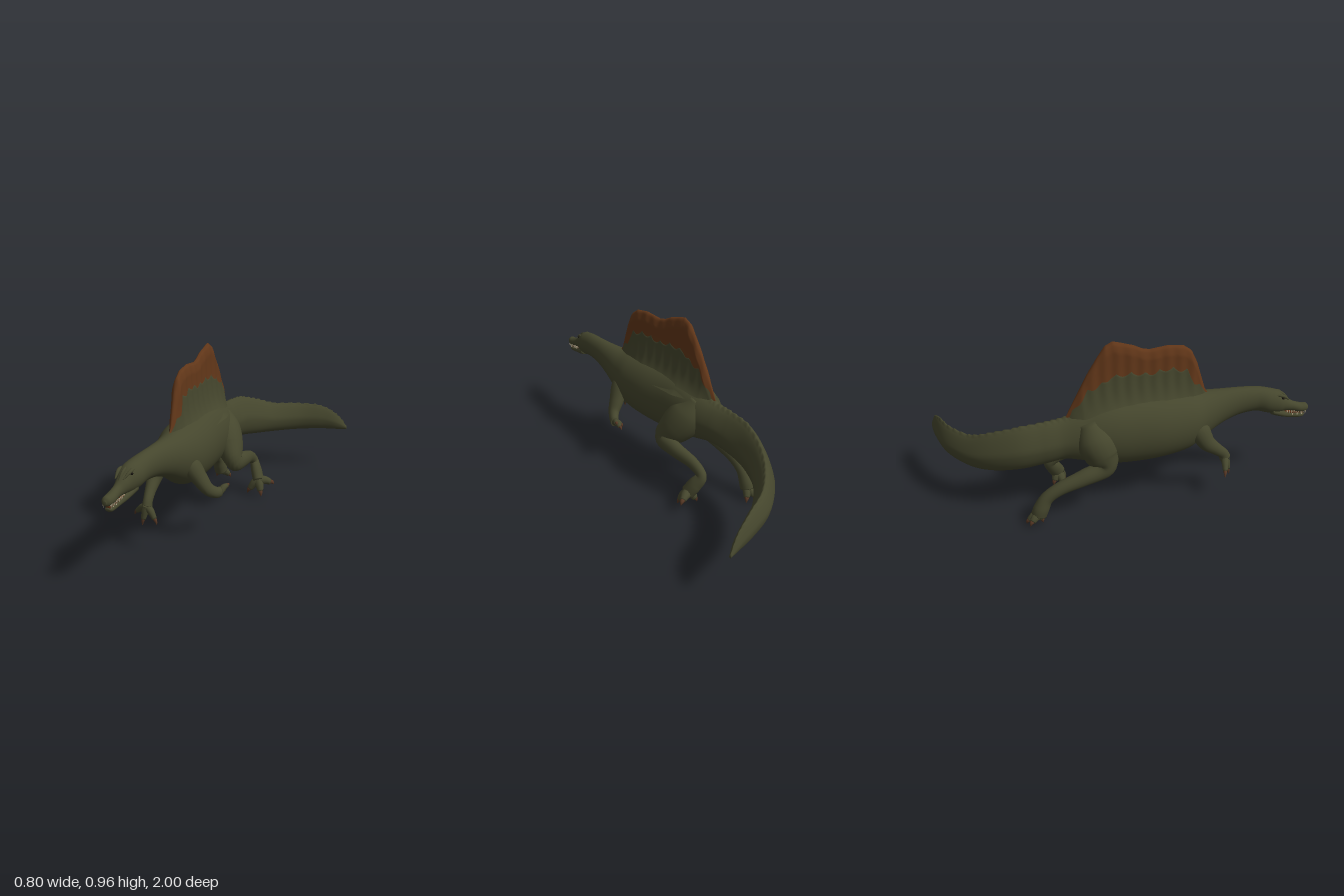
import * as THREE from 'three';

const V = (x, y, z) => new THREE.Vector3(x, y, z);
const clamp = THREE.MathUtils.clamp, lerp = THREE.MathUtils.lerp;
const mat = (name, color, side = THREE.FrontSide) => {
  const m = new THREE.MeshStandardMaterial({ color, side });
  m.name = name;
  return m;
};

// Grid surface: fn(i, j) gives a point; front is (i direction) x (j direction)
function gridGeometry(ni, nj, fn, wrap = false) {
  const pos = [], idx = [];
  for (let i = 0; i < ni; i++) for (let j = 0; j < nj; j++) pos.push(...fn(i, j).toArray());
  for (let i = 0; i < ni - 1; i++) {
    for (let j = 0; j < (wrap ? nj : nj - 1); j++) {
      const k = (j + 1) % nj;
      const a = i * nj + j, b = (i + 1) * nj + j, c = (i + 1) * nj + k, d = i * nj + k;
      idx.push(a, b, d, b, c, d);
    }
  }
  const g = new THREE.BufferGeometry();
  g.setAttribute('position', new THREE.Float32BufferAttribute(pos, 3));
  g.setIndex(idx);
  g.computeVertexNormals();
  return g;
}

// Rounded tube through rows of [x, y, z, radius]; flat squeezes it sideways
function limbGeometry(rows, flat = 1, steps = 8, sides = 14) {
  const path = new THREE.CatmullRomCurve3(rows.map(r => V(r[0], r[1], r[2])), false, 'catmullrom');
  const rad = new THREE.CatmullRomCurve3(rows.map(r => V(r[3], 0, 0)), false, 'catmullrom');
  const n = steps * (rows.length - 1);
  return gridGeometry(n + 3, sides, (i, j) => {
    const t = clamp((i - 1) / n, 0, 1);
    const r = i === 0 || i === n + 2 ? 0.0001 : Math.max(rad.getPoint(t).x, 0.0005);
    const T = path.getTangent(t), R = V(1, 0, 0).cross(T).normalize(), U = T.clone().cross(R);
    const a = j / sides * Math.PI * 2;
    return path.getPoint(t).addScaledVector(R, r * Math.sin(a)).addScaledVector(U, r * flat * Math.cos(a));
  }, true);
}

// Upright sections along a path, rows of [x, z, bottom, top, half width];
// ridge(t) lifts the top line, pinch(t) narrows the upper half
function spineGeometry(rows, steps, sides, ridge = () => 0, pinch = () => 0) {
  const path = new THREE.CatmullRomCurve3(rows.map(r => V(r[0], 0, r[1])), false, 'catmullrom');
  const size = new THREE.CatmullRomCurve3(rows.map(r => V(r[2], r[3], r[4])), false, 'catmullrom');
  const n = steps * (rows.length - 1);
  return gridGeometry(n + 3, sides, (i, j) => {
    const t = clamp((i - 1) / n, 0, 1);
    const end = i === 0 || i === n + 2 ? 0.01 : 1;
    const s = size.getPoint(t), p = path.getPoint(t);
    const R = V(0, 1, 0).cross(path.getTangent(t)).normalize();
    const a = j / sides * Math.PI * 2, c = Math.cos(a);
    const h = (s.y - s.x) / 2 * end;
    p.y = (s.x + s.y) / 2 + h * c + (c > 0.96 ? ridge(t) * end : 0);
    return p.addScaledVector(R, s.z * end * Math.sin(a) * (1 - pinch(t) * Math.max(0, c)));
  }, true);
}

// Linear interpolation in rows of [z, value], z falling
function lookup(rows, z) {
  for (let i = 1; i < rows.length; i++) {
    const [z0, a] = rows[i - 1], [z1, b] = rows[i];
    if (z >= z1) return lerp(a, b, clamp((z0 - z) / (z0 - z1), 0, 1));
  }
  return rows[rows.length - 1][1];
}

export function createModel() {
  const root = new THREE.Group();
  root.name = 'sailBackedDinosaur';
  const skin = mat('olive skin', 0x45462d);
  const sailMat = mat('rust sail', 0x623719, THREE.DoubleSide);
  const sailBase = mat('olive sail base', 0x45462d, THREE.DoubleSide);
  const clawMat = mat('brown claw', 0x553724);
  const mouthMat = mat('red brown mouth', 0x643418);
  const toothMat = mat('ivory tooth', 0xb5a98c);
  const eyeMat = mat('dark eye', 0x17140e);
  const add = (name, geo, material, parent = root) => {
    const m = new THREE.Mesh(geo, material);
    m.name = name;
    parent.add(m);
    return m;
  };

  // Snout, neck, trunk and curving tail in one skin, with scutes along the tail
  const front = [
    [-.27, 1.0, .445, .465, .008], [-.27, .985, .435, .482, .022], [-.268, .95, .433, .487, .027],
    [-.262, .9, .445, .506, .025], [-.255, .86, .447, .54, .036], [-.25, .82, .442, .573, .05],
    [-.24, .77, .445, .588, .056], [-.225, .7, .458, .6, .051], [-.215, .6, .442, .604, .056],
    [-.21, .5, .4, .605, .073], [-.21, .4, .34, .61, .1], [-.215, .3, .288, .625, .128],
  ];
  const back = [
    [-.22, .15, .268, .635, .14], [-.22, 0, .265, .635, .132], [-.215, -.12, .275, .625, .122],
    [-.205, -.25, .305, .59, .1], [-.2, -.35, .325, .562, .078], [-.2, -.45, .312, .55, .069],
    [-.185, -.58, .29, .533, .064], [-.13, -.71, .268, .49, .058], [-.05, -.81, .259, .445, .053],
    [.085, -.905, .259, .43, .045], [.23, -.955, .263, .413, .033], [.33, -.975, .263, .36, .021],
    [.395, -.99, .265, .285, .006],
  ];
  const scutes = t => t > 0.64 && t < 0.99 ? 0.009 * ((t * 75) % 1) : 0;
  const tailPinch = t => 0.4 * clamp((t - 0.6) / 0.12, 0, 1);
  add('bodyAndTail', spineGeometry([...front, ...back], 12, 40, scutes, tailPinch), skin);

  // Lower jaw, mouth lining, teeth, brows and eyes
  const head = new THREE.Group();
  head.name = 'headDetails';
  root.add(head);
  add('lowerJaw', spineGeometry([
    [-.269, .98, .412, .424, .012], [-.268, .96, .4, .428, .021], [-.262, .9, .404, .44, .023],
    [-.255, .85, .415, .463, .035], [-.246, .79, .435, .49, .045]], 6, 20), skin, head);
  add('mouthLining', spineGeometry([
    [-.268, .975, .415, .447, .012], [-.262, .9, .425, .455, .017], [-.255, .85, .43, .465, .022]], 5, 14), mouthMat, head);
  for (const side of [-1, 1]) {
    for (let k = 0; k < 9; k++) {
      const z = .978 - k * .013, x = -.27 + (.98 - z) * .09;
      const up = add('upperTooth', new THREE.ConeGeometry(.0045, .02, 6), toothMat, head);
      up.position.set(x + side * .02, .433 + k * .0012, z);
      up.rotation.x = Math.PI;
      if (k % 2) add('lowerTooth', new THREE.ConeGeometry(.0035, .015, 6), toothMat, head).position.set(x + side * .018, .433, z - .006);
    }
    add('brow', limbGeometry([[-.26 + side * .02, .525, .875, .003], [-.252 + side * .03, .553, .835, .009],
      [-.246 + side * .03, .56, .79, .003]]), skin, head);
    add('eye', new THREE.SphereGeometry(.007, 14, 10), eyeMat, head).position.set(-.253 + side * .037, .543, .835);
  }
  add('noseCrest', limbGeometry([[-.26, .503, .89, .003], [-.254, .55, .85, .008], [-.248, .572, .81, .003]]), skin, head);

  // Sail: faintly ribbed, flared into the back, in an olive lower and a rust upper part
  const topRows = [[.43, .6], [.41, .63], [.385, .71], [.36, .79], [.325, .865], [.28, .898], [.2, .91], [.1, .9],
    [.06, .91], [.02, .932], [-.05, .955], [-.09, .966], [-.13, .945], [-.17, .885], [-.22, .8], [-.28, .68], [-.34, .56]];
  const edgeRows = [[.43, .61], [.4, .65], [.34, .7], [.3, .775], [.2, .8], [.1, .785], [0, .8], [-.1, .795],
    [-.15, .76], [-.22, .73], [-.28, .65], [-.34, .55]];
  const sailTop = z => lookup(topRows, z);
  const edge = z => Math.min(lookup(edgeRows, z) - .022 * Math.abs(Math.sin(z * 42)), sailTop(z) - .004);
  const sailGeometry = (low, high, extra) => {
    const nu = 121, half = 16;
    return gridGeometry(nu, half * 2 + 1, (i, j) => {
      const u = i / (nu - 1), z = .43 - .77 * u, v = j / half - 1;
      const y = lerp(low(z), high(z), 1 - Math.abs(v));
      const swell = Math.sin(Math.PI * u);
      const rim = Math.sqrt(clamp((sailTop(z) - y) / .05, 0, 1));
      const rib = .0022 * Math.cos(z * 95) * clamp((y - .6) / .1, 0, 1);
      const flare = .068 * Math.exp(-(y - .57) / .075) * Math.min(1, swell * 1.2);
      const w = ((.019 + rib) * Math.min(1, swell * 2.5 + .1) + flare) * rim + extra;
      return V(-.214 + .03 * Math.max(0, -z) - Math.sign(v) * w, y, z);
    });
  };
  add('sailLower', sailGeometry(() => .55, z => Math.min(edge(z) + .02, sailTop(z)), 0), sailBase);
  add('sailUpper', sailGeometry(edge, z => sailTop(z) + .001, .001), sailMat);

  // Digit with an arched toe and a curved claw
  const digit = (group, name, base, tip, r) => {
    const b = V(...base), t = V(...tip);
    const at = (k, lift) => { const p = b.clone().lerp(t, k); p.y += lift; return p.toArray(); };
    add(name, limbGeometry([[...b.toArray(), r], [...at(.4, .012), r * .85], [...at(.76, .01), r * .58]], 1, 5, 10), skin, group);
    add(name + 'Claw', limbGeometry([[...at(.7, .012), r * .5], [...at(.88, .011), r * .36], [...t.toArray(), .0008]], 1, 5, 8), clawMat, group);
  };
  const limb = (name, rows, flat, digitName, tips, r) => {
    const g = new THREE.Group();
    g.name = name;
    root.add(g);
    add(name + 'Flesh', limbGeometry(rows, flat, 8, 18), skin, g);
    const base = rows[rows.length - 1].slice(0, 3);
    tips.forEach(t => digit(g, digitName, base, t, r));
  };

  // Hind legs in stride
  limb('leftHindLeg', [[-.18, .55, -.23, .05], [-.15, .46, -.2, .1], [-.11, .375, -.145, .1], [-.06, .298, -.1, .06],
    [-.045, .275, -.2, .047], [-.05, .245, -.33, .036], [-.045, .2, -.4, .032], [-.02, .145, -.378, .04], [.002, .092, -.35, .04]],
    .8, 'toe', [[-.06, .012, -.325], [.034, .008, -.305], [.09, .065, -.385], [-.035, .03, -.385]], .03);
  limb('rightHindLeg', [[-.245, .55, -.23, .05], [-.265, .46, -.2, .1], [-.285, .375, -.17, .096], [-.31, .298, -.16, .056],
    [-.313, .255, -.27, .045], [-.308, .21, -.39, .037], [-.303, .16, -.465, .035], [-.303, .1, -.5, .042], [-.301, .06, -.515, .042]],
    .95, 'toe', [[-.342, .02, -.57], [-.3, .01, -.585], [-.25, .003, -.555], [-.325, .02, -.5]], .028);

  // Arms, the left one tucked back and the right one reaching forward
  limb('leftArm', [[-.165, .49, .345, .03], [-.135, .425, .35, .055], [-.09, .345, .335, .046], [-.055, .29, .32, .036],
    [-.025, .26, .285, .03], [-.01, .257, .26, .028]],
    .85, 'finger', [[-.005, .235, .195], [.022, .275, .205], [-.035, .235, .22]], .02);
  limb('rightArm', [[-.26, .49, .34, .03], [-.292, .43, .36, .055], [-.315, .355, .4, .045], [-.315, .305, .455, .034],
    [-.31, .265, .5, .029], [-.31, .235, .515, .031]],
    .85, 'finger', [[-.398, .165, .485], [-.33, .135, .535], [-.25, .145, .53]], .022);

  return root;
}
